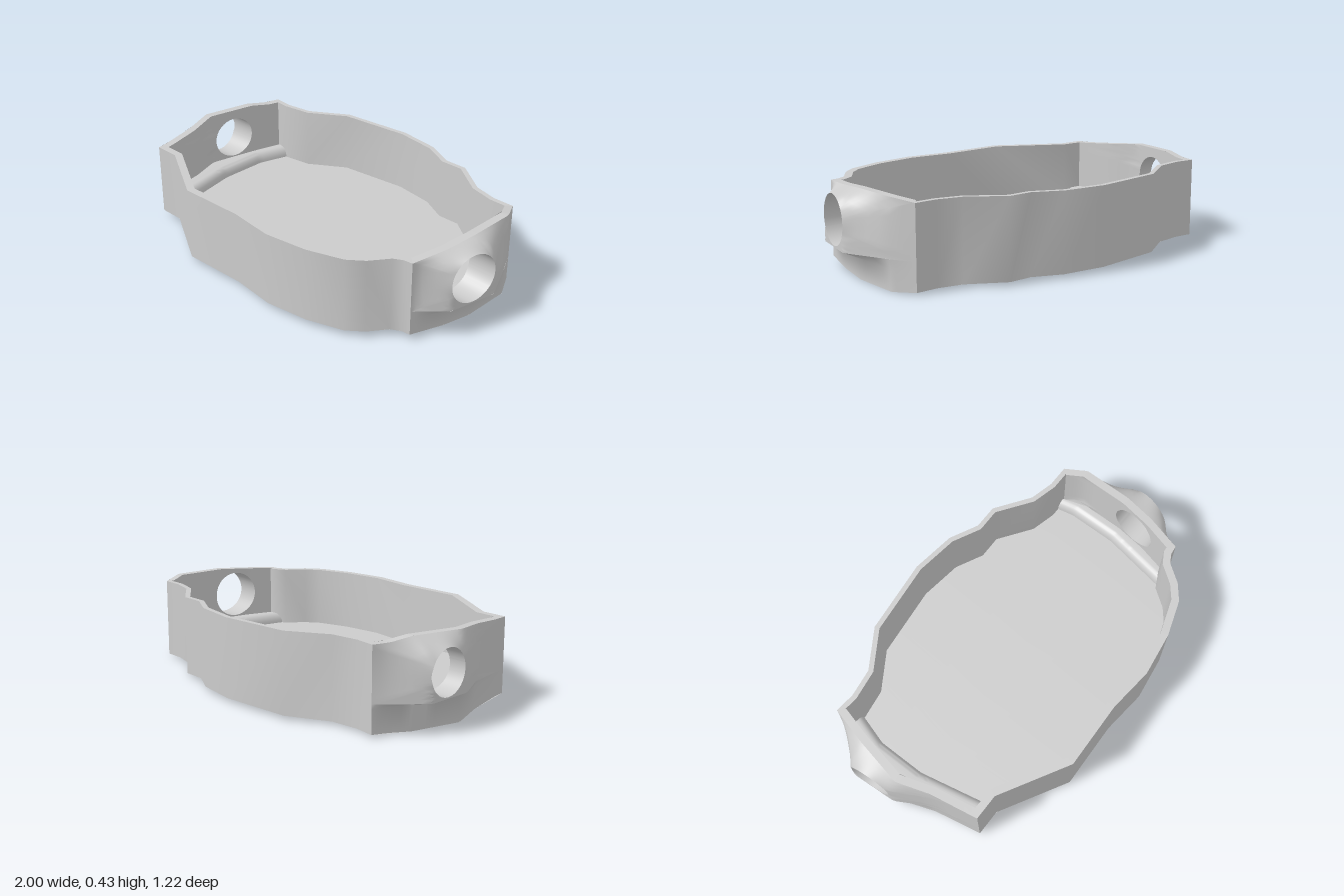
import * as THREE from 'three';
import { toCreasedNormals } from 'three/addons/utils/BufferGeometryUtils.js';

const material = new THREE.MeshStandardMaterial({ color: 0xcccccc, side: THREE.DoubleSide });
const FLOOR_Y = 0.095, LEDGE_Y = 0.148, WALL = 0.04;

// Piecewise linear lookup through [key, value] pairs sorted by key
function interp(pairs, k) {
  if (k <= pairs[0][0]) return pairs[0][1];
  for (let i = 1; i < pairs.length; i++) {
    const [a, va] = pairs[i - 1], [b, vb] = pairs[i];
    if (k <= b) return va + (vb - va) * (k - a) / (b - a);
  }
  return pairs[pairs.length - 1][1];
}
const topY = z => interp([[-0.36, 0.408], [-0.25, 0.425], [0, 0.425], [0.34, 0.4]], z);
const bottomY = z => interp([[-0.6, 0.02], [-0.36, 0.01], [-0.25, 0], [0, 0], [0.34, 0.03]], z);
const span = (a, b, n = 48) => Array.from({ length: n + 1 }, (_, i) => a + (b - a) * i / n);

// Surface through rows of points
function loft(name, rows, crease = 0.9) {
  const n = rows[0].length, index = [];
  for (let r = 0; r < rows.length - 1; r++) {
    for (let i = 0; i < n - 1; i++) {
      const a = r * n + i, b = a + n;
      index.push(a, b, a + 1, a + 1, b, b + 1);
    }
  }
  const g = new THREE.BufferGeometry();
  g.setAttribute('position', new THREE.Float32BufferAttribute(rows.flat(2), 3));
  g.setIndex(index);
  const mesh = new THREE.Mesh(toCreasedNormals(g, crease), material);
  mesh.name = name;
  return mesh;
}

// Wavy long sides, as [x, z] from -x to +x
const backLine = [[-0.84, -0.44], [-0.74, -0.43], [-0.6, -0.45], [-0.41, -0.57], [-0.04, -0.61], [0.18, -0.58],
  [0.32, -0.51], [0.44, -0.51], [0.61, -0.39], [0.73, -0.36], [0.84, -0.36]];
const frontLine = [[-0.84, 0.4], [-0.71, 0.4], [-0.37, 0.595], [-0.03, 0.585], [0.2, 0.61], [0.42, 0.58],
  [0.6, 0.52], [0.675, 0.46], [0.74, 0.37], [0.785, 0.345], [0.83, 0.34]];

// Ends: base and floor edges as [z, x]; bulge carries the round opening
const ends = [
  { name: 'left', s: 1, zc: 0.09, yc: 0.275, r: 0.12, stepY: 0.1,
    base: [[-0.36, 0.84], [-0.25, 0.895], [0, 0.895], [0.16, 0.875], [0.34, 0.83]],
    bulge: [[-0.36, 0.84], [-0.25, 0.9], [-0.03, 1], [0.21, 0.95], [0.32, 0.835], [0.34, 0.83]],
    floor: [[-0.345, 0.77], [-0.25, 0.79], [0, 0.79], [0.345, 0.73]] },
  { name: 'right', s: -1, zc: -0.135, yc: 0.265, r: 0.11, stepY: 0.125,
    base: [[-0.44, -0.84], [-0.25, -0.89], [0, -0.94], [0.16, -0.885], [0.4, -0.84]],
    bulge: [[-0.44, -0.84], [-0.24, -1], [-0.01, -0.985], [0.16, -0.89], [0.4, -0.84]],
    floor: [[-0.42, -0.74], [-0.25, -0.79], [0, -0.79], [0.38, -0.71]] },
];

// Long side; a negative thickness sets the inner face towards -z
function sideWall(name, line, thickness) {
  const inner = line.map(([x, z], i) => {
    const a = line[Math.max(i - 1, 0)], b = line[Math.min(i + 1, line.length - 1)];
    const dx = b[0] - a[0], dz = b[1] - a[1], l = Math.hypot(dx, dz);
    return [x - thickness * dz / l, z + thickness * dx / l];
  });
  return loft(name, [
    line.map(([x, z]) => [x, bottomY(z), z]),
    line.map(([x, z]) => [x, topY(z), z]),
    inner.map(([x, z], i) => [x, topY(line[i][1]), z]),
    inner.map(([x, z]) => [x, FLOOR_Y, z]),
  ]);
}

function endWall(e) {
  const group = new THREE.Group();
  group.name = e.name + 'EndWall';
  const zA = e.base[0][0], zB = e.base[e.base.length - 1][0], rims = [], tops = [];

  // One skin of the wall, spread from the round opening to its rectangular border
  function skin(name, profile, inset, margin) {
    const z0 = zA + margin, z1 = zB - margin;
    const base = z => interp(e.base, z) - e.s * inset;
    const bulge = z => interp(profile, z) - e.s * inset;
    const angles = span(0, 2 * Math.PI, 64).slice(0, 64);
    for (const z of [z0, z1]) {
      for (const y of [LEDGE_Y, topY(z)]) {
        angles.push((Math.atan2(y - e.yc, z - e.zc) + 2 * Math.PI) % (2 * Math.PI));
      }
    }
    angles.sort((a, b) => a - b);
    angles.push(angles[0]);
    const rings = Array.from({ length: 7 }, () => []);
    for (const a of angles) {
      const c = Math.cos(a), d = Math.sin(a);
      const tSide = Math.abs(c) < 1e-6 ? 9 : ((c > 0 ? z1 : z0) - e.zc) / c;
      let t = tSide;
      if (d < -1e-6) t = Math.min(t, (LEDGE_Y - e.yc) / d);
      if (d > 1e-6) for (let k = 0; k < 6; k++) t = Math.min(tSide, (topY(e.zc + t * c) - e.yc) / d);
      // The bulge eases back to the base line towards the top
      const lean = (e.yc + t * d - LEDGE_Y) / (topY(e.zc + t * c) - LEDGE_Y);
      rings.forEach((ring, i) => {
        const r = e.r + (t - e.r) * i / 6, z = e.zc + r * c;
        ring.push([bulge(z) + (base(z) - bulge(z)) * lean * i / 6, e.yc + r * d, z]);
      });
    }
    group.add(loft(name, rings));
    rims.push(rings[0]);
    const zs = span(z0, z1);
    tops.push(zs.map(z => [base(z), topY(z), z]));
    return { base, bulge, zs };
  }
  const out = skin('outerSkin', e.bulge, 0, 0), inn = skin('innerSkin', e.base, WALL, 0.03);

  // Lining of the opening, from the bulge through to the straight inner face
  const lining = rims[0].map(([, y, z]) => [inn.base(z), y, z]);
  group.add(loft('openingLining', [rims[0], lining]), loft('topRim', tops));

  // Recessed lower wall under the overhang
  group.add(loft('lowerWall', [
    out.zs.map(z => [out.bulge(z), LEDGE_Y, z]),
    out.zs.map(z => [out.base(z), e.stepY, z]),
    out.zs.map(z => [out.base(z), bottomY(z), z]),
  ], 1.3));

  // Rounded ledge between wall and floor
  const edge = span(e.floor[0][0], e.floor[3][0]).map(z => [interp(e.floor, z), z]);
  const curve = span(Math.PI / 2, 0, 6).map(a => edge.map(([x, z]) => [
    x + e.s * 0.04 * (1 - Math.cos(a)), FLOOR_Y + (LEDGE_Y - FLOOR_Y) * Math.sin(a), z]));
  group.add(loft('ledge', [inn.zs.map(z => [inn.base(z), LEDGE_Y, z]), ...curve]));
  return group;
}

// Plate across the whole outline, in rows from back to front
function plate(name, scale, height) {
  const across = (x0, x1, zAt) => span(x0, x1, 80).map(x => [x * scale, height(zAt(x)), zAt(x) * scale]);
  const side = line => across(line[0][0], line[line.length - 1][0], x => interp(line, x));
  const middle = [-0.25, 0, 0.16].map(z => across(interp(ends[1].base, z), interp(ends[0].base, z), () => z));
  return loft(name, [side(backLine), ...middle, side(frontLine)]);
}

export function createModel() {
  const model = new THREE.Group();
  model.name = 'tray';
  model.add(sideWall('backWall', backLine, 0.025), sideWall('frontWall', frontLine, -0.038));
  for (const e of ends) model.add(endWall(e));
  model.add(plate('floor', 0.98, () => FLOOR_Y), plate('underside', 1, bottomY));
  return model;
}
